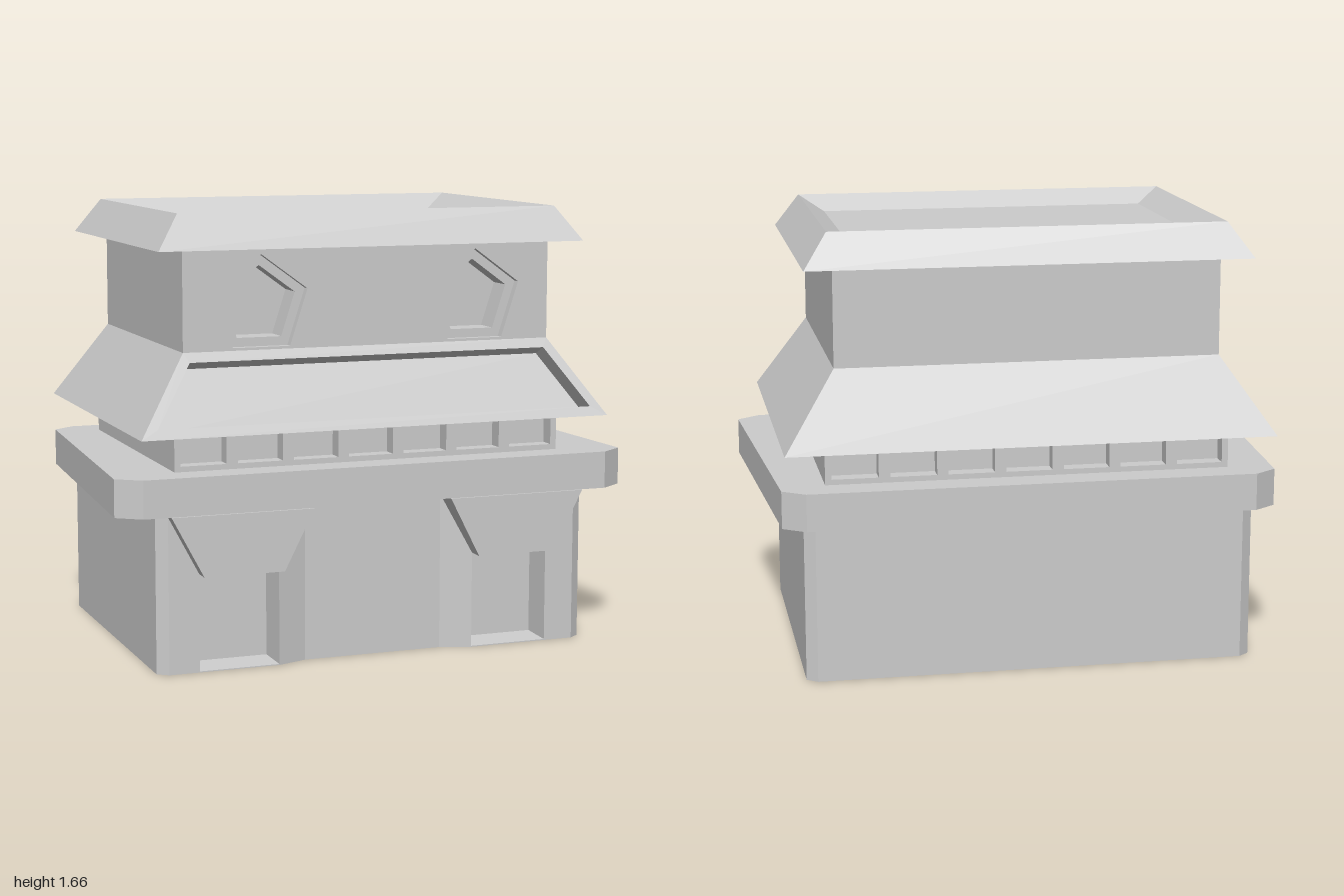
import * as THREE from 'three';

const material = new THREE.MeshStandardMaterial({ color: 0xcccccc, flatShading: true });

// Skin a list of point rings; optionally close each ring and cap the last one.
function loft(rings, closed = true, cap = true) {
  const pos = [];
  const tri = (a, b, c) => pos.push(...a, ...b, ...c);
  for (let i = 0; i < rings.length - 1; i++) {
    const lo = rings[i], hi = rings[i + 1], n = lo.length;
    for (let j = 0; j < (closed ? n : n - 1); j++) {
      const k = (j + 1) % n;
      tri(lo[j], lo[k], hi[k]);
      tri(lo[j], hi[k], hi[j]);
    }
  }
  if (cap) {
    const top = rings[rings.length - 1];
    for (let j = 1; j < top.length - 1; j++) tri(top[0], top[j], top[j + 1]);
  }
  const g = new THREE.BufferGeometry();
  g.setAttribute('position', new THREE.Float32BufferAttribute(pos, 3));
  g.computeVertexNormals();
  return g;
}

const at = (plan, y) => plan.map(([x, z]) => [x, y, z]);
const rect = (x, zf, zb) => [[-x, zf], [x, zf], [x, zb], [-x, zb]];
const mirrored = half => [...half, ...[...half].reverse().map(([x, z]) => [-x, z])];
const shapeOf = pts => new THREE.Shape(pts.map(([x, y]) => new THREE.Vector2(x, y)));

// Flat face looking down
function underside(plan, y) {
  return new THREE.ShapeGeometry(shapeOf(plan)).rotateX(Math.PI / 2).translate(0, y, 0);
}

// Upright plate with holes, its front at zFront
function plate(outline, holes, zFront, depth) {
  const shape = shapeOf(outline);
  shape.holes = holes.map(shapeOf);
  return new THREE.ExtrudeGeometry(shape, { depth, bevelEnabled: false }).translate(0, 0, zFront - depth);
}

const box2 = (x0, x1, y0, y1) => [[x0, y0], [x1, y0], [x1, y1], [x0, y1]];
const pentagon = (cx, cy, r) => Array.from({ length: 5 }, (_, i) => {
  const a = Math.PI / 2 + (i * 2 * Math.PI) / 5;
  return [cx + r * Math.cos(a), cy + r * Math.sin(a)];
});

export function createModel() {
  const model = new THREE.Group();
  const add = (name, geometry) => {
    const mesh = new THREE.Mesh(geometry, material);
    mesh.name = name;
    model.add(mesh);
    return mesh;
  };

  // Ground floor: chamfered corners, set-back centre wall between two door fronts
  const baseTop = 0.59;
  const centre = [[-0.385, 0.6], [-0.27, 0.56], [0.27, 0.56], [0.385, 0.6]];
  const outer = mirrored([[0.805, 0.6], [0.845, 0.57], [0.845, -0.575], [0.805, -0.605]]);
  add('centreWall', loft([at(centre, 0), at(centre, baseTop)], false, false));
  add('groundFloorWalls', loft([at(outer, 0), at(outer, baseTop)], false, false));
  add('groundFloorUnderside', underside([...centre, ...outer], 0));

  for (const s of [-1, 1]) {
    const side = s < 0 ? 'right' : 'left';
    // Door front with a slightly tapering recess
    const panel = (xa, xb, ya, yb, z) =>
      box2(Math.min(s * xa, s * xb), Math.max(s * xa, s * xb), ya, yb).map(([x, y]) => [x, y, z]);
    add(side + 'Doorway', loft([
      panel(0.385, 0.805, 0, baseTop, 0.6),
      panel(0.385, 0.69, 0.004, 0.362, 0.6),
      panel(0.398, 0.677, 0.015, 0.348, 0.49),
    ]));
    // Flat tapered hood over the door
    const hood = [[0.385, 0.365], [0.69, 0.365], [0.81, baseTop], [0.27, baseTop]].map(([x, y]) => [s * x, y]);
    add(side + 'DoorHood', plate(hood, [], 0.665, 0.11));
  }

  // Overhanging ledge, narrower at the back
  const ledge = mirrored([[0.91, 0.655], [1.0, 0.59], [0.925, -0.6], [0.84, -0.66]]);
  add('ledge', loft([at(ledge, baseTop), at(ledge, 0.73)]));
  add('ledgeUnderside', underside(ledge, baseTop));

  // Window band: row of recessed panes on front and back
  const panes = Array.from({ length: 7 }, (_, i) => {
    const x = (i - 3) * 0.2165;
    return box2(x - 0.087, x + 0.087, 0.75, 0.855);
  });
  const band = box2(-0.76, 0.76, 0.73, 0.87);
  const inset = 0.06;
  const bandCore = rect(0.76, 0.535 - inset, -0.54 + inset);
  add('windowBandCore', loft([at(bandCore, 0.73), at(bandCore, 0.87)]));
  add('frontWindowBand', plate(band, panes, 0.535, inset));
  add('backWindowBand', plate(band, panes, -0.54 + inset, inset));

  // Lower skirt roof with a sunken front panel
  const eave = rect(0.915, 0.655, -0.66), crown = rect(0.72, 0.52, -0.525);
  const turn = p => [p[1], p[2], p[3], p[0]];
  add('skirtRoofSoffit', loft([at(rect(0.75, 0.52, -0.53), 0.87), at(eave, 0.87)], true, false));
  add('skirtRoofSides', loft([at(turn(eave), 0.87), at(turn(crown), 1.16)], false, false));
  const slopeZ = y => 0.655 - (y - 0.87) * (0.135 / 0.29);
  const slope = (xb, yb, xt, yt) => [[-xb, yb], [xb, yb], [xt, yt], [-xt, yt]].map(([x, y]) => [x, y, slopeZ(y)]);
  const opening = slope(0.85, 0.905, 0.70, 1.125);
  const sunken = opening.map(([x, y, z]) => [x, y - 0.03, z - 0.063]);
  add('skirtRoofFront', loft([slope(0.915, 0.87, 0.72, 1.16), opening, sunken]));

  // Upper storey with two stepped pentagonal windows
  const wall = box2(-0.72, 0.72, 1.16, 1.53);
  const windows = r => [-0.422, 0.422].map(x => pentagon(x, 1.32, r));
  add('upperWallFront', plate(wall, windows(0.186), 0.52, 0.03));
  add('upperWindowFrames', plate(wall, windows(0.145), 0.49, 0.1));
  const upperCore = rect(0.72, 0.39, -0.525);
  add('upperStorey', loft([at(upperCore, 1.16), at(upperCore, 1.53)]));

  // Top roof: flared eaves and a shallow sunken deck
  add('topRoof', loft([
    at(rect(0.7, 0.5, -0.5), 1.53),
    at(rect(0.83, 0.6, -0.605), 1.53),
    at(rect(0.74, 0.53, -0.535), 1.66),
    at(rect(0.645, 0.455, -0.465), 1.60),
  ]));

  return model;
}
